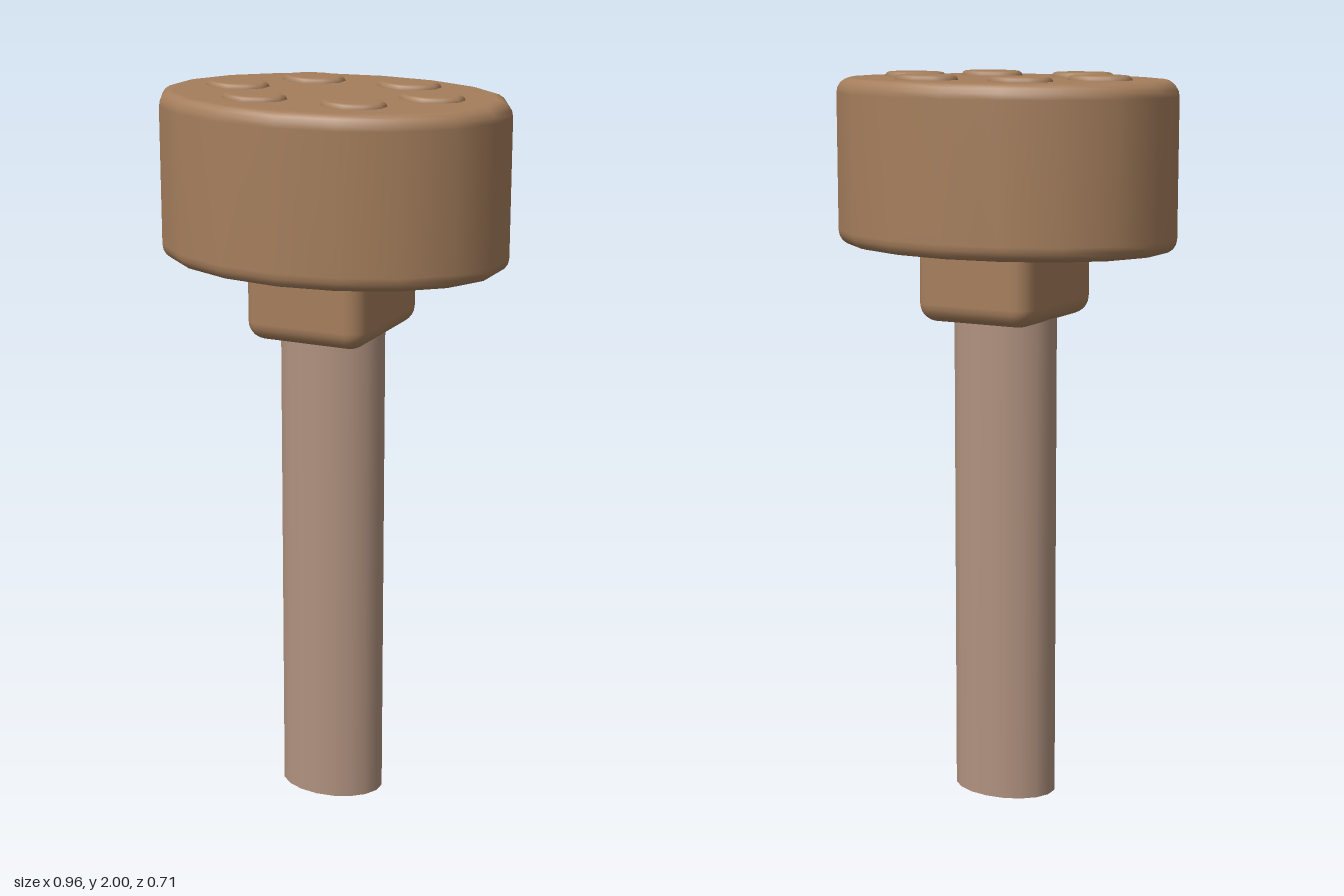
import * as THREE from 'three';
import { RoundedBoxGeometry } from 'three/addons/geometries/RoundedBoxGeometry.js';

// Closed elliptical disc with rounded rims, standing between y0 and y1
function roundedDisc(rx, rz, y0, y1, bevel, sides) {
  const points = [new THREE.Vector2(0, y0)];
  const steps = 4;
  for (let i = 0; i <= steps; i++) {
    const a = (i / steps) * Math.PI / 2;
    points.push(new THREE.Vector2(rx - bevel + bevel * Math.sin(a), y0 + bevel - bevel * Math.cos(a)));
  }
  for (let i = 0; i <= steps; i++) {
    const a = (i / steps) * Math.PI / 2;
    points.push(new THREE.Vector2(rx - bevel + bevel * Math.cos(a), y1 - bevel + bevel * Math.sin(a)));
  }
  points.push(new THREE.Vector2(0, y1));
  return new THREE.LatheGeometry(points, sides).scale(1, 1, rz / rx);
}

export function createModel() {
  const group = new THREE.Group();
  const wood = new THREE.MeshStandardMaterial({ color: 0xa57e5c });
  wood.name = 'brown wood';
  const paleWood = new THREE.MeshStandardMaterial({ color: 0xb0927f });
  paleWood.name = 'pale wood';

  const add = (name, geometry, material) => {
    const mesh = new THREE.Mesh(geometry, material);
    mesh.name = name;
    group.add(mesh);
    return mesh;
  };

  // Oval handle
  const handle = new THREE.CylinderGeometry(0.149, 0.149, 1.4, 18).scale(1, 1, 0.74);
  add('handle', handle, paleWood).position.y = 0.7;

  // Block joining handle and head
  add('collar', new RoundedBoxGeometry(0.345, 0.27, 0.4, 3, 0.05), wood).position.y = 1.48;

  // Oval head
  add('head', roundedDisc(0.487, 0.355, 1.538, 1.987, 0.04, 18), wood);

  // Six pegs running through the head, just proud of both faces
  for (let i = 0; i < 6; i++) {
    const a = i * Math.PI / 3;
    const peg = add('peg', roundedDisc(0.09, 0.066, 1.53, 2, 0.016, 10), wood);
    peg.position.set(0.28 * Math.cos(a), 0, 0.205 * Math.sin(a));
  }
  return group;
}
